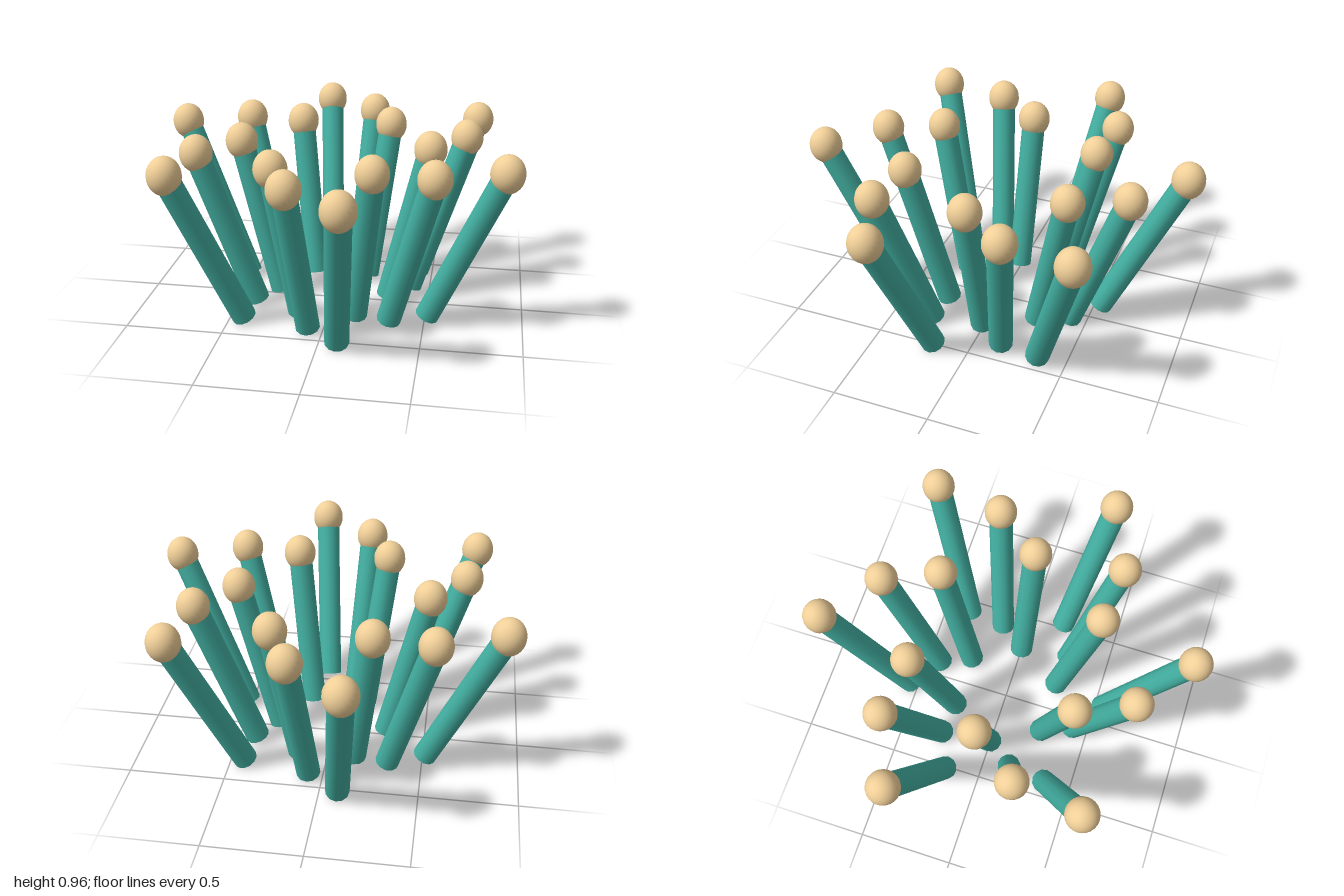
import * as THREE from 'three';

const stalkMaterial = new THREE.MeshStandardMaterial({ color: 0x43b0a2 });
const headMaterial = new THREE.MeshStandardMaterial({ color: 0xf0cf98 });

const HEAD_Y = 0.863;
const UP = new THREE.Vector3(0, 1, 0);

// Three rings of six stalks: foot radius and height, head radius, start angle in degrees
const RINGS = [
  { name: 'inner', foot: 0.29, footY: 0.033, head: 0.49, start: 0 },
  { name: 'middle', foot: 0.42, footY: 0.029, head: 0.708, start: 40 },
  { name: 'outer', foot: 0.545, footY: 0.026, head: 0.93, start: 20 },
];

function radialPoint(radius, angle, y) {
  return new THREE.Vector3(radius * Math.cos(angle), y, radius * Math.sin(angle));
}

// One leaning stalk with an upright egg-shaped head on its tip
function createStamen(ring, angle) {
  const group = new THREE.Group();
  const foot = radialPoint(ring.foot, angle, ring.footY);
  const tip = radialPoint(ring.head, angle, HEAD_Y);
  const axis = tip.clone().sub(foot);

  const stalk = new THREE.Mesh(
    new THREE.CylinderGeometry(0.063, 0.063, axis.length(), 12), stalkMaterial);
  stalk.name = 'stalk';
  stalk.position.copy(foot).add(tip).multiplyScalar(0.5);
  stalk.quaternion.setFromUnitVectors(UP, axis.normalize());

  const head = new THREE.Mesh(new THREE.SphereGeometry(0.084, 24, 16), headMaterial);
  head.name = 'head';
  head.scale.y = 1.145;
  head.position.copy(tip);

  group.add(stalk, head);
  return group;
}

export function createModel() {
  const model = new THREE.Group();
  model.name = 'stamenCluster';
  for (const ring of RINGS) {
    const ringGroup = new THREE.Group();
    ringGroup.name = `${ring.name}Ring`;
    for (let i = 0; i < 6; i++) {
      const stamen = createStamen(ring, THREE.MathUtils.degToRad(ring.start + i * 60));
      stamen.name = `${ring.name}Stamen${i + 1}`;
      ringGroup.add(stamen);
    }
    model.add(ringGroup);
  }
  return model;
}
